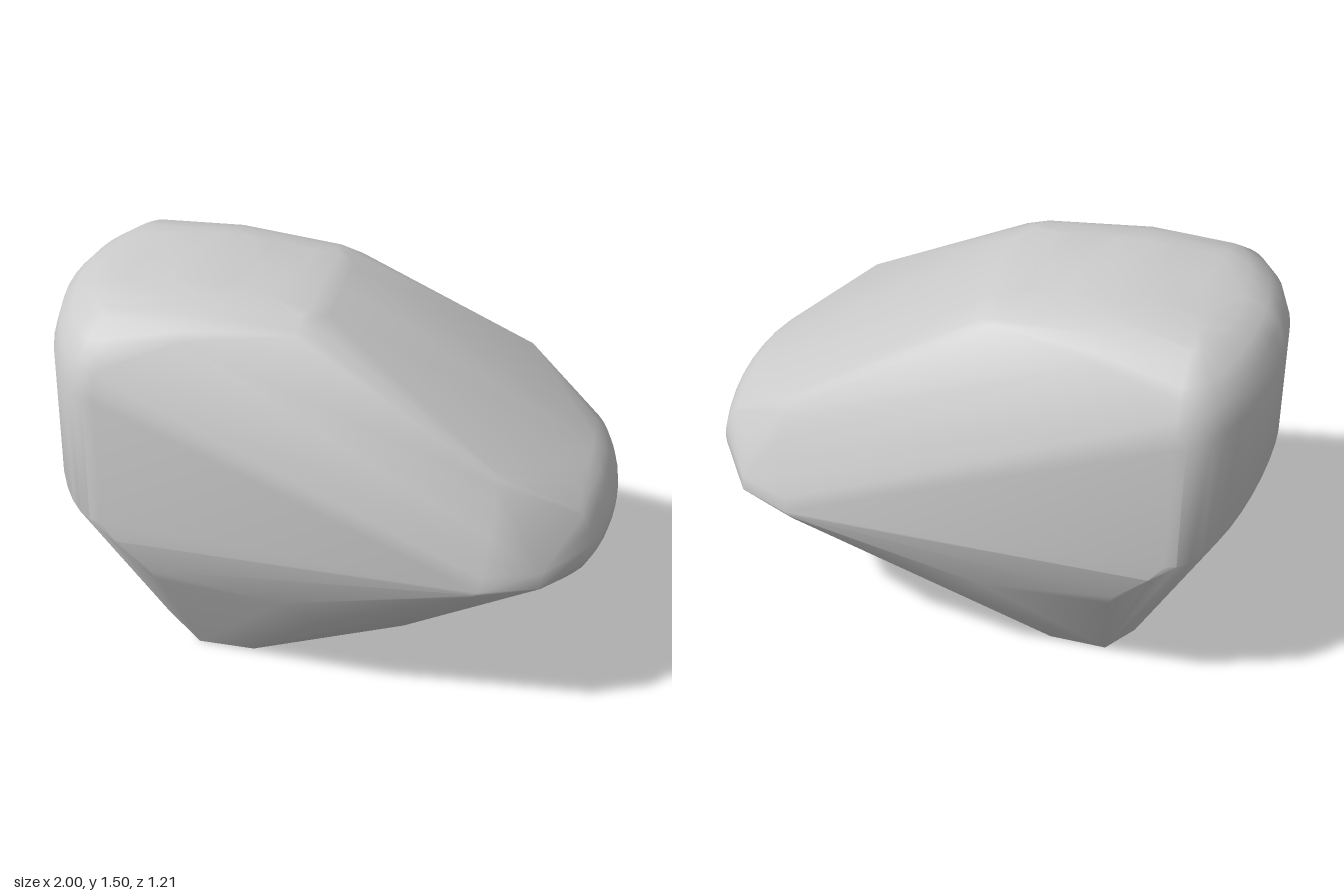
import * as THREE from 'three';
import { ConvexGeometry } from 'three/addons/geometries/ConvexGeometry.js';
import { mergeVertices, toCreasedNormals } from 'three/addons/utils/BufferGeometryUtils.js';

const vec = (x, y, z = 0) => new THREE.Vector3(x, y, z);

// Points along a smooth curve through a few stations
const arc = (stations, n) => new THREE.CatmullRomCurve3(stations, false, 'centripetal').getPoints(n);

export function createModel() {
  const group = new THREE.Group();
  const stone = new THREE.MeshStandardMaterial({ color: 0xcccccc });
  stone.name = 'stone grey';
  const half = [];

  // Rounded rear: quarter ellipses (depth, half width, height, drop at the side)
  const rear = (rx, rz, y, drop) => {
    for (let i = 0; i <= 10; i++) {
      const a = i / 10 * Math.PI / 2, s = Math.sin(a);
      half.push(vec(-0.74 - rx * Math.cos(a), y - drop * s * s, rz * s));
    }
  };
  rear(0.26, 0.55, 0.87, 0.17);
  rear(0.26, 0.53, 1.28, 0.10);
  rear(0.23, 0.505, 1.37, 0.09);
  rear(0.18, 0.445, 1.42, 0.05);
  rear(0.11, 0.335, 1.455, 0.01);

  // Crown, nearly flat across
  const crown = [vec(-0.7, 1.48), vec(-0.5, 1.495), vec(-0.3, 1.485), vec(-0.08, 1.455), vec(0, 1.425)];
  for (const p of arc(crown, 12)) half.push(p, vec(p.x, p.y - 0.003, 0.19));

  // Rounded shoulder, covering less of the quarter round towards the slope
  const shoulder = (x, top, sweep) => {
    for (let i = 0; i <= 8; i++) {
      const a = i / 8 * sweep;
      half.push(vec(x, top - 0.31 * (1 - Math.cos(a)), 0.17 + 0.36 * Math.sin(a)));
    }
  };
  shoulder(-0.74, 1.475, 1.57);
  shoulder(-0.45, 1.49, 0.8);
  shoulder(-0.08, 1.452, 0.5);

  // Top corner of the slope, and the widest corner of the flank
  half.push(...arc([vec(-0.06, 1.45, 0.22), vec(-0.03, 1.425, 0.28), vec(0, 1.39, 0.34)], 5));
  half.push(...arc([vec(0.62, 1.04, 0.44), vec(0.63, 1, 0.47), vec(0.62, 0.85, 0.54), vec(0.6, 0.66, 0.605), vec(0.58, 0.635, 0.6)], 12));

  // Cheeks beside the nose
  half.push(vec(0.8, 0.64, 0.51), vec(0.8, 0.7, 0.505), vec(0.8, 0.82, 0.43));

  // Lower flank ridge
  half.push(vec(-0.69, 0.63, 0.553), vec(-0.57, 0.52, 0.55), vec(-0.55, 0.47, 0.53), vec(-0.1, 0.45, 0.545), vec(0.02, 0.34, 0.49));

  // Foot and keel
  half.push(vec(-0.49, 0, 0.27), vec(-0.28, 0, 0.27), vec(-0.6, 0.13, 0.28), vec(0.3, 0.2, 0.05), vec(0.3, 0.25, 0.32));

  // Rounded nose, drawn back and flattened towards its sides
  const nose = arc([vec(0.9, 0.9), vec(0.95, 0.85), vec(0.985, 0.78), vec(1, 0.7), vec(0.98, 0.61), vec(0.92, 0.54)], 12);
  for (let i = 0; i <= 4; i++) {
    const t = i / 4;
    for (const p of nose) half.push(vec(p.x - 0.052 * t * t, 0.71 + (p.y - 0.71) * (1 - 0.1 * t ** 3), 0.31 * t));
  }

  // Mirror front to back and wrap the body around the points
  let hull = new ConvexGeometry(half.flatMap(p => [p, vec(p.x, p.y, -p.z)]));
  hull.deleteAttribute('normal');
  hull = toCreasedNormals(mergeVertices(hull, 1e-4), 0.65);

  const body = new THREE.Mesh(hull, stone);
  body.name = 'boulder';
  group.add(body);
  return group;
}
